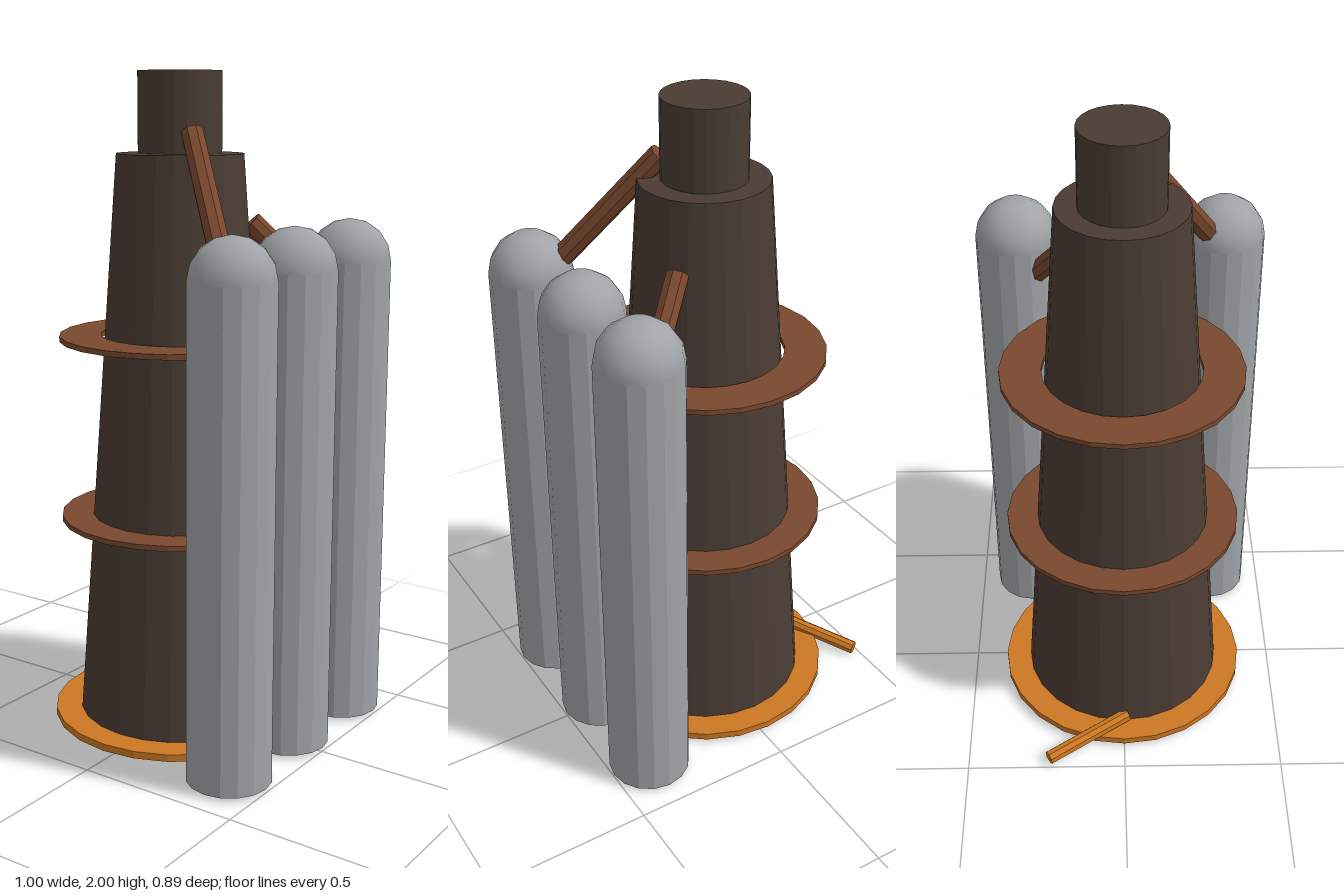
import * as THREE from 'three';

const flat = (name, color) => {
  const m = new THREE.MeshStandardMaterial({ color, flatShading: true });
  m.name = name;
  return m;
};

export function createModel() {
  const model = new THREE.Group();
  model.name = 'stillTower';

  const darkIron = flat('darkIron', 0x4a3c34);
  const rust = flat('rust', 0x7a482e);
  const orange = flat('orange', 0xcc7722);
  const steel = flat('steel', 0xa0a4a6);
  const smoothSteel = steel.clone();
  smoothSteel.flatShading = false;
  smoothSteel.name = 'smoothSteel';

  const add = (name, geometry, material, x = 0, y = 0, z = 0, parent = model) => {
    const mesh = new THREE.Mesh(geometry, material);
    mesh.name = name;
    mesh.position.set(x, y, z);
    parent.add(mesh);
    return mesh;
  };

  // Flat ring with a rectangular section
  const ring = (inner, outer, y0, y1) => new THREE.LatheGeometry([
    new THREE.Vector2(inner, y0), new THREE.Vector2(outer, y0),
    new THREE.Vector2(outer, y1), new THREE.Vector2(inner, y1),
    new THREE.Vector2(inner, y0),
  ], 24);

  // Straight rod between two points
  const rod = (name, from, to, radius, material) => {
    const a = new THREE.Vector3(...from), b = new THREE.Vector3(...to);
    const dir = b.clone().sub(a);
    const mesh = add(name, new THREE.CylinderGeometry(radius, radius, dir.length(), 8), material);
    mesh.position.copy(a).add(b).multiplyScalar(0.5);
    mesh.quaternion.setFromUnitVectors(new THREE.Vector3(0, 1, 0), dir.normalize());
  };

  // Tapered tower and chimney
  const cx = -0.022;
  add('towerBody', new THREE.CylinderGeometry(0.19, 0.317, 1.75, 24), darkIron, cx, 0.888);
  add('chimney', new THREE.CylinderGeometry(0.125, 0.125, 0.26, 24), darkIron, cx, 1.87);

  // Base flange and two walkway rings
  add('baseFlange', ring(0.31, 0.396, 0.015, 0.037), orange, cx);
  for (const y of [0.66, 1.217]) add('walkwayRing', ring(0.24, 0.366, y - 0.008, y + 0.008), rust, cx);

  // Domed gas tanks in a row
  for (const z of [-0.32, 0, 0.32]) {
    const tank = new THREE.Group();
    tank.name = 'tank';
    tank.position.set(0.377, 0, z);
    add('tankBody', new THREE.CylinderGeometry(0.125, 0.125, 1.43, 16), steel, 0, 0.73, 0, tank);
    add('tankDome', new THREE.SphereGeometry(0.125, 16, 4, 0, Math.PI * 2, 0, Math.PI / 2),
      smoothSteel, 0, 1.445, 0, tank);
    model.add(tank);
  }

  // Feed pipes from the tower to the outer tanks
  rod('upperPipe', [0.075, 1.825, 0.075], [0.3, 1.5, 0.26], 0.034, rust);
  rod('lowerPipe', [0.145, 1.56, -0.13], [0.32, 1.34, -0.27], 0.034, rust);

  // Drain spout at the base
  rod('drainSpout', [-0.48, 0.024, -0.243], [-0.33, 0.055, 0.01], 0.022, orange);

  return model;
}
